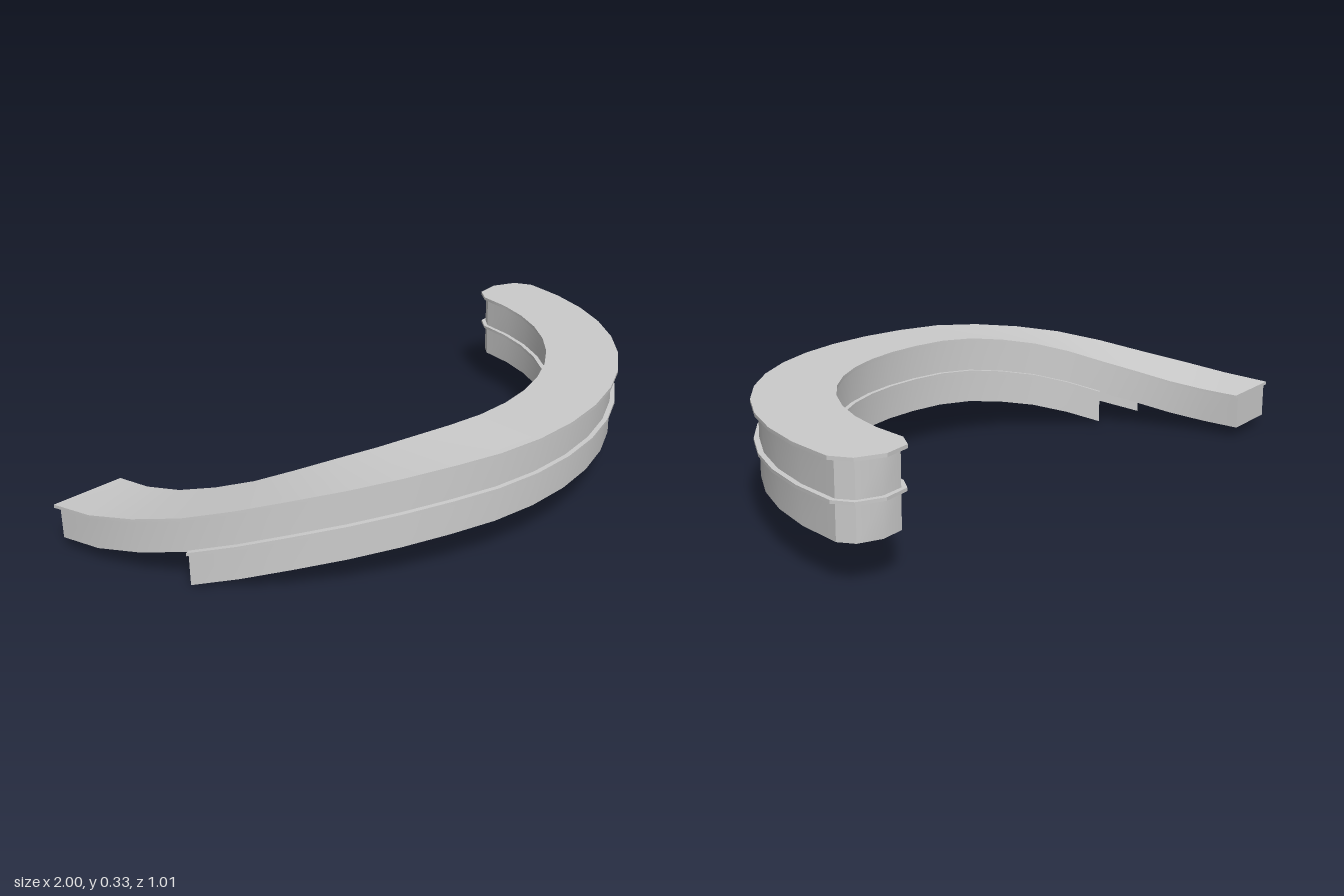
import * as THREE from 'three';
import { toCreasedNormals } from 'three/addons/utils/BufferGeometryUtils.js';

const START = 5, END = 175, SEGMENTS = 20;
const CENTRE_Z = -0.5, MID_R = 0.89;

// How far the counter sinks, by angle in degrees from the low end
const SINK = [[0, 0.19], [5, 0.187], [12, 0.177], [18, 0.162], [24, 0.141], [31, 0.117],
  [38, 0.087], [45, 0.058], [52, 0.036], [60, 0.018], [67, 0.006], [74, 0], [180, 0]];

function sink(angle, r) {
  const a = Math.max(0, angle - 6 * THREE.MathUtils.clamp((0.985 - r) / 0.195, 0, 1));
  const i = Math.max(1, SINK.findIndex(([k]) => k >= a));
  const [a0, s0] = SINK[i - 1], [a1, s1] = SINK[i];
  return s0 + (s1 - s0) * (a - a0) / (a1 - a0);
}

// One long edge of the arc, from the low end to the tip of the rounded end.
// Points have y = minus the sink.
function edge(r, start, capDepth) {
  const angles = [start];
  for (let i = 0; i <= SEGMENTS; i++) {
    const a = START + (END - START) * i / SEGMENTS;
    if (a > start + 0.5) angles.push(a);
  }
  const at = (a, radius, along = 0) => {
    const t = THREE.MathUtils.degToRad(a);
    return new THREE.Vector3(
      -radius * Math.cos(t) + along * Math.sin(t),
      -sink(a, radius),
      CENTRE_Z + radius * Math.sin(t) + along * Math.cos(t));
  };
  const points = angles.map((a) => at(a, r));
  for (const f of [Math.PI / 4, Math.PI / 2]) {
    points.push(at(END, MID_R + (r - MID_R) * Math.cos(f), capDepth * Math.sin(f)));
  }
  return points;
}

// Outer edge, round the tip, and back along the inner edge
function outline(outerR, innerR, outerStart, innerStart, capDepth) {
  return [...edge(outerR, outerStart, capDepth),
    ...edge(innerR, innerStart, capDepth).reverse().slice(1)];
}

const raise = (p, y) => new THREE.Vector3(p.x, p.y + y, p.z);

// Skin a row of cross-sections; closed sections also get end faces
function loft(sections, closed) {
  const n = sections[0].length, index = [];
  const positions = sections.flat().flatMap((p) => [p.x, p.y, p.z]);
  for (let i = 0; i < sections.length - 1; i++) {
    for (let j = 0; j < (closed ? n : n - 1); j++) {
      const a = i * n + j, b = i * n + (j + 1) % n;
      index.push(a, a + n, b, b, a + n, b + n);
    }
  }
  if (closed) {
    const e = (sections.length - 1) * n;
    for (let j = 1; j < n - 1; j++) index.push(0, j, j + 1, e, e + j + 1, e + j);
  }
  const g = new THREE.BufferGeometry();
  g.setAttribute('position', new THREE.Float32BufferAttribute(positions, 3));
  g.setIndex(index);
  return toCreasedNormals(g, 0.5);
}

export function createModel() {
  const group = new THREE.Group();
  const material = new THREE.MeshStandardMaterial({ color: 0xcccccc, side: THREE.DoubleSide });
  const add = (name, geometry) => {
    const mesh = new THREE.Mesh(geometry, material);
    mesh.name = name;
    group.add(mesh);
  };

  // Walls: the upper tier runs the full arc, the lower tier stops short, open below
  const OUT_CUT = 30.9, IN_CUT = 39.4;
  const upper = outline(0.985, 0.79, START, START, 0.06);
  const lower = outline(0.985, 0.79, OUT_CUT, IN_CUT, 0.06);
  add('upperWall', loft(upper.map((p) => [raise(p, 0.325), raise(p, 0.221)]), false));
  add('lowerWall', loft(lower.map((p) => [raise(p, 0.221), raise(p, 0.118)]), false));

  // Flat wall closing the low end of the upper tier
  const ends = [upper[0], upper[upper.length - 1]];
  add('endWall', loft(ends.map((p) => [raise(p, 0.325), raise(p, 0.221)]), false));

  // Thin rail standing out between the tiers
  const lip = outline(1.0, 0.776, OUT_CUT, IN_CUT, 0.075);
  add('middleRail', loft(lip.map((p, i) => [
    raise(lower[i], 0.225), raise(p, 0.225), raise(p, 0.216), raise(lower[i], 0.216)]), true));

  // Overhanging worktop
  const outer = edge(1.005, START, 0.08), inner = edge(0.775, START, 0.08);
  add('worktop', loft(outer.map((p, i) => [
    raise(p, 0.333), raise(inner[i], 0.333), raise(inner[i], 0.323), raise(p, 0.323)]), true));

  return group;
}
